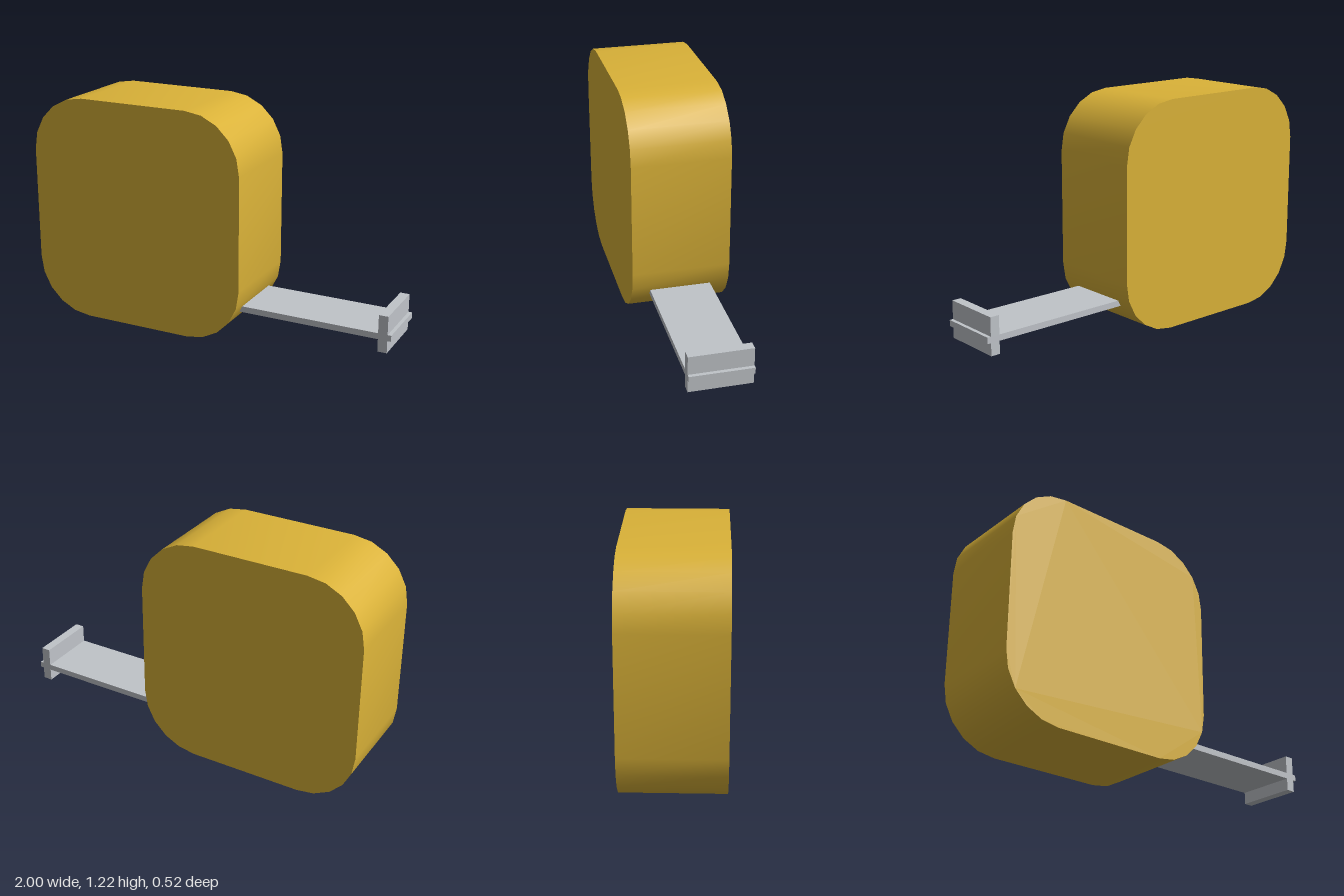
import * as THREE from 'three';
import { toCreasedNormals } from 'three/addons/utils/BufferGeometryUtils.js';

const SIZE = 1.216, RADIUS = SIZE / 4, DEPTH = 0.52, STEPS = 5;

// Rounded square outline with a few straight facets per corner
function roundedSquare(size, radius, steps) {
  const points = [];
  const inset = size / 2 - radius;
  const corners = [[1, 1], [-1, 1], [-1, -1], [1, -1]];
  corners.forEach(([sx, sy], c) => {
    for (let i = 0; i <= steps; i++) {
      const a = (c + i / steps) * Math.PI / 2;
      points.push(new THREE.Vector2(
        sx * inset + Math.cos(a) * radius,
        sy * inset + Math.sin(a) * radius));
    }
  });
  return new THREE.Shape(points);
}

export function createModel() {
  const group = new THREE.Group();
  group.name = 'tapeMeasure';

  const yellow = new THREE.MeshStandardMaterial({ color: 0xdab238 });
  yellow.name = 'yellow case';
  const steel = new THREE.MeshStandardMaterial({ color: 0xc0c4c9 });
  steel.name = 'grey steel';

  // Case: extruded rounded square, smooth around the rim, sharp at the faces
  const caseGeometry = new THREE.ExtrudeGeometry(
    roundedSquare(SIZE, RADIUS, STEPS), { depth: DEPTH, bevelEnabled: false });
  caseGeometry.translate(0, 0, -DEPTH / 2);
  const body = new THREE.Mesh(toCreasedNormals(caseGeometry, Math.PI / 6), yellow);
  body.name = 'case';
  body.position.set(-1 + SIZE / 2, SIZE / 2, 0);
  group.add(body);

  // Steel parts given by their x and y extents
  const addBar = (name, x0, x1, y0, y1) => {
    const bar = new THREE.Mesh(new THREE.BoxGeometry(x1 - x0, y1 - y0, 0.325), steel);
    bar.name = name;
    bar.position.set((x0 + x1) / 2, (y0 + y1) / 2, 0);
    group.add(bar);
  };
  addBar('blade', 0.1, 1, 0.156, 0.188);
  addBar('endHook', 0.932, 0.981, 0.09, 0.285);

  return group;
}
